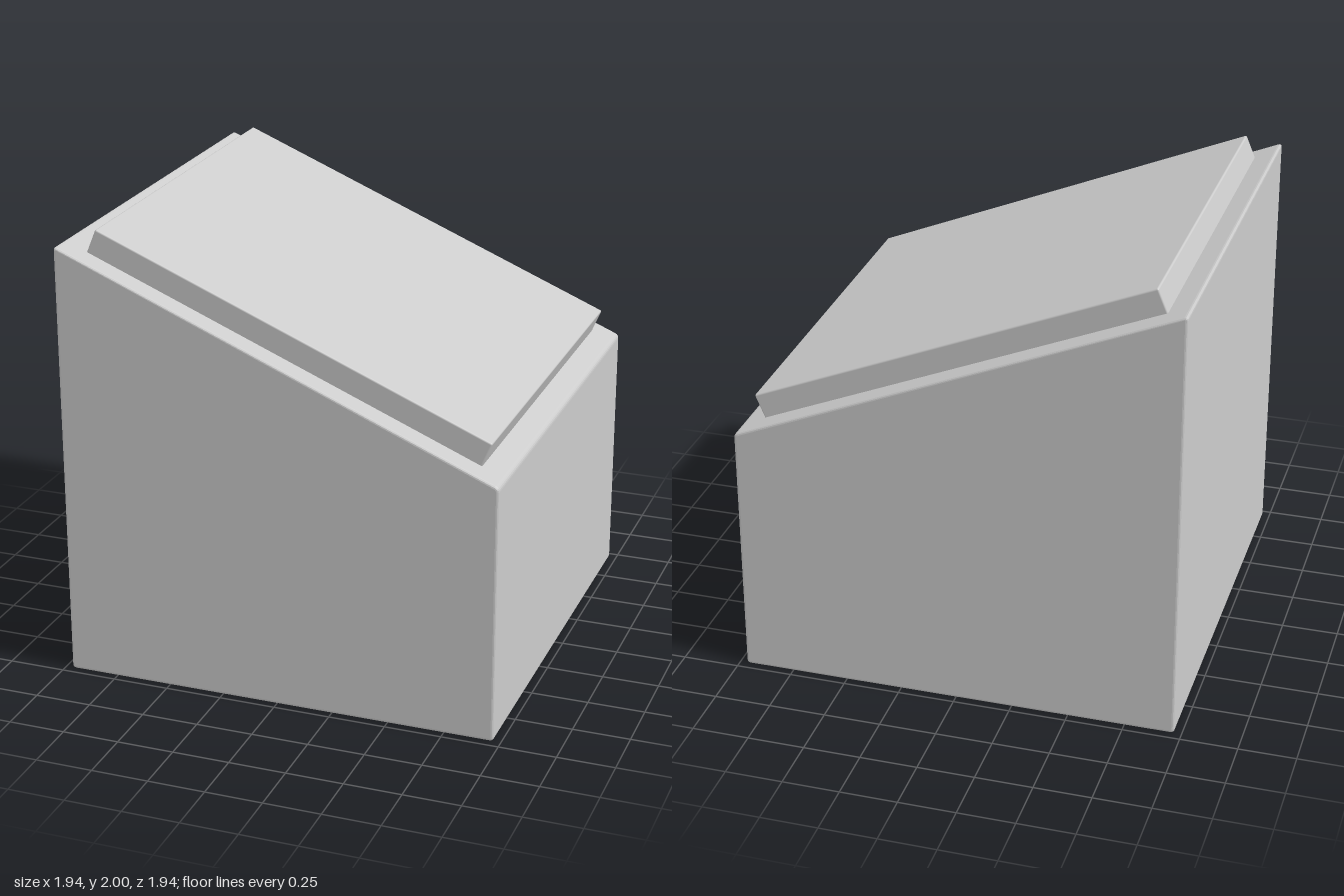
import * as THREE from 'three';
import { RoundedBoxGeometry } from 'three/addons/geometries/RoundedBoxGeometry.js';

const HALF = 0.968;
const HIGH = 1.947, LOW = 1.146; // heights of the two ends of the sloped top
const EDGE = 0.012;              // small rounding on all edges

// Closed outline with every corner rounded by r
function roundedOutline(points, r) {
  const pts = points.map(([x, y]) => new THREE.Vector2(x, y));
  const shape = new THREE.Shape();
  pts.forEach((p, i) => {
    const prev = pts[(i + pts.length - 1) % pts.length];
    const next = pts[(i + 1) % pts.length];
    const a = p.clone().add(prev.clone().sub(p).setLength(r));
    const b = p.clone().add(next.clone().sub(p).setLength(r));
    if (i === 0) shape.moveTo(a.x, a.y);
    else shape.lineTo(a.x, a.y);
    shape.quadraticCurveTo(p.x, p.y, b.x, b.y);
  });
  shape.closePath();
  return shape;
}

export function createModel() {
  const group = new THREE.Group();
  group.name = 'slopedConsole';
  const material = new THREE.MeshStandardMaterial({ color: 0xcccccc });

  // Wedge-topped body, extruded front to back
  const outline = roundedOutline([[-HALF, 0], [HALF, 0], [HALF, LOW], [-HALF, HIGH]], EDGE * 1.5);
  const depth = 2 * (HALF - EDGE);
  const bodyGeometry = new THREE.ExtrudeGeometry(outline, {
    depth, curveSegments: 4,
    bevelEnabled: true, bevelThickness: EDGE, bevelSize: EDGE, bevelOffset: -EDGE, bevelSegments: 3,
  });
  bodyGeometry.translate(0, 0, -depth / 2);
  const body = new THREE.Mesh(bodyGeometry, material);
  body.name = 'body';
  group.add(body);

  // Raised panel lying on the slope, sunk slightly into the body
  const height = 0.11, sink = 0.02;
  const panelGeometry = new RoundedBoxGeometry(1.872, height + sink, 1.73, 3, 0.008);
  panelGeometry.translate(0, (height - sink) / 2, 0);
  const panel = new THREE.Mesh(panelGeometry, material);
  panel.name = 'topPanel';
  panel.position.y = (HIGH + LOW) / 2;
  panel.rotation.z = Math.atan2(LOW - HIGH, 2 * HALF);
  group.add(panel);

  return group;
}
